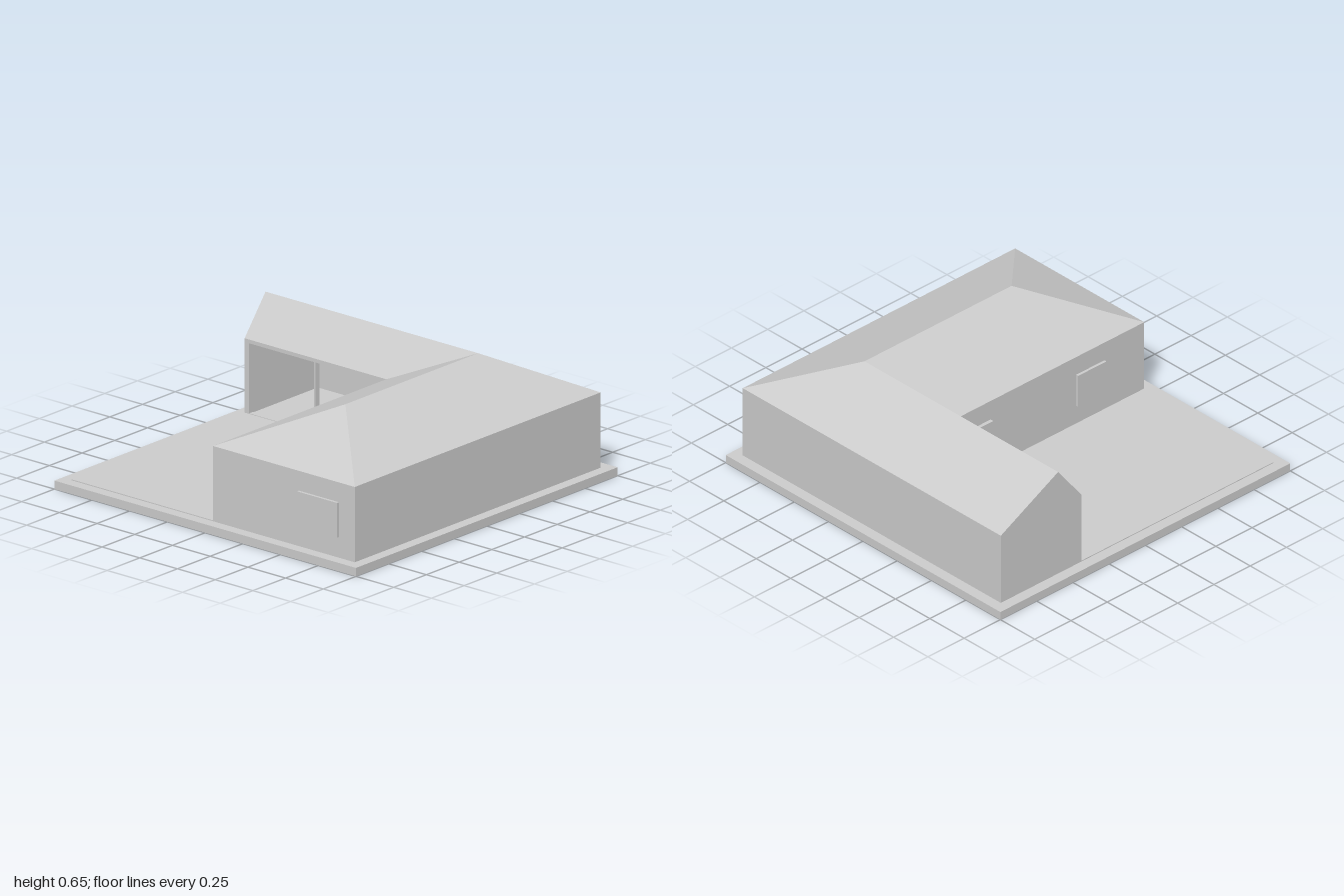
import * as THREE from 'three';

const material = new THREE.MeshStandardMaterial({ color: 0xcccccc, flatShading: true });
const FLOOR = 0.045, EAVE = 0.445, RIDGE = 0.65;
const OUT = 0.94, WING_Z = -0.385, WALL = 0.03;

// Box given by its lower and upper bounds on each axis
function box(name, [x0, x1], [y0, y1], [z0, z1]) {
  const mesh = new THREE.Mesh(new THREE.BoxGeometry(x1 - x0, y1 - y0, z1 - z0), material);
  mesh.position.set((x0 + x1) / 2, (y0 + y1) / 2, (z0 + z1) / 2);
  mesh.name = name;
  return mesh;
}

function rectangle(path, x0, x1, y0, y1) {
  path.moveTo(x0, y0);
  path.lineTo(x1, y0);
  path.lineTo(x1, y1);
  path.lineTo(x0, y1);
  path.closePath();
  return path;
}

// Wall pierced by two wide bays with a slim post between them
function createBayWall() {
  const shape = rectangle(new THREE.Shape(), -OUT, 0, FLOOR, EAVE);
  for (const [x0, x1] of [[-0.91, -0.48], [-0.47, -0.03]]) {
    shape.holes.push(rectangle(new THREE.Path(), x0, x1, 0.053, 0.425));
  }
  const geometry = new THREE.ExtrudeGeometry(shape, { depth: WALL, bevelEnabled: false });
  const mesh = new THREE.Mesh(geometry, material);
  mesh.position.z = WING_Z - WALL;
  mesh.name = 'bayWall';
  return mesh;
}

// L-shaped roof: gable on the short wing, hip on the long wing
function createRoof() {
  const p = {
    backRight: [-OUT, EAVE, -OUT], backLeft: [OUT, EAVE, -OUT],
    frontLeft: [OUT, EAVE, OUT], frontInner: [0, EAVE, OUT],
    valley: [0, EAVE, WING_Z], wingFront: [-OUT, EAVE, WING_Z],
    side: [OUT, EAVE, WING_Z],
    gableTop: [-OUT, RIDGE, -0.545], corner: [0.47, RIDGE, -0.545], hipTop: [0.47, RIDGE, 0.47],
  };
  const faces = [
    ['backRight', 'gableTop', 'corner', 'backLeft'],
    ['backLeft', 'corner', 'hipTop', 'frontLeft'],
    ['frontLeft', 'hipTop', 'frontInner'],
    ['frontInner', 'hipTop', 'corner', 'valley'],
    ['valley', 'corner', 'gableTop', 'wingFront'],
    ['wingFront', 'gableTop', 'backRight'],
    // ceiling
    ['backRight', 'backLeft', 'side', 'wingFront'],
    ['valley', 'side', 'frontLeft', 'frontInner'],
  ];
  const positions = [];
  for (const face of faces) {
    for (let i = 1; i < face.length - 1; i++) {
      positions.push(...p[face[0]], ...p[face[i]], ...p[face[i + 1]]);
    }
  }
  const geometry = new THREE.BufferGeometry();
  geometry.setAttribute('position', new THREE.Float32BufferAttribute(positions, 3));
  geometry.computeVertexNormals();
  const mesh = new THREE.Mesh(geometry, material);
  mesh.name = 'roof';
  return mesh;
}

export function createModel() {
  const house = new THREE.Group();
  house.name = 'house';

  // Ground slab and the raised paving of the yard
  house.add(box('groundSlab', [-1, 1], [0, FLOOR], [-1, 1]));
  house.add(box('yardPaving', [-OUT, 0], [FLOOR, 0.05], [-OUT + 0.01, OUT]));

  // Long wing
  house.add(box('longWing', [0, OUT], [FLOOR, EAVE], [-OUT, OUT]));

  // Hollow short wing with open bays
  const wingInner = [-OUT + WALL, WING_Z - WALL];
  const shortWing = new THREE.Group();
  shortWing.name = 'shortWing';
  shortWing.add(
    box('backWall', [-OUT, 0], [FLOOR, EAVE], [-OUT, wingInner[0]]),
    box('endWall', [-OUT, -OUT + WALL], [FLOOR, EAVE], wingInner),
    box('partyWall', [-WALL, 0], [FLOOR, EAVE], wingInner),
    createBayWall(),
  );
  house.add(shortWing);

  house.add(createRoof());

  // Windows standing slightly proud of the walls
  house.add(
    box('frontWindow', [0.57, 0.835], [0.155, 0.34], [OUT - 0.01, 0.955]),
    box('yardWindowFront', [-0.015, 0.01], [0.155, 0.34], [0.47, 0.665]),
    box('yardWindowBack', [-0.02, 0.01], [0.165, 0.335], [-0.275, -0.12]),
  );
  return house;
}
